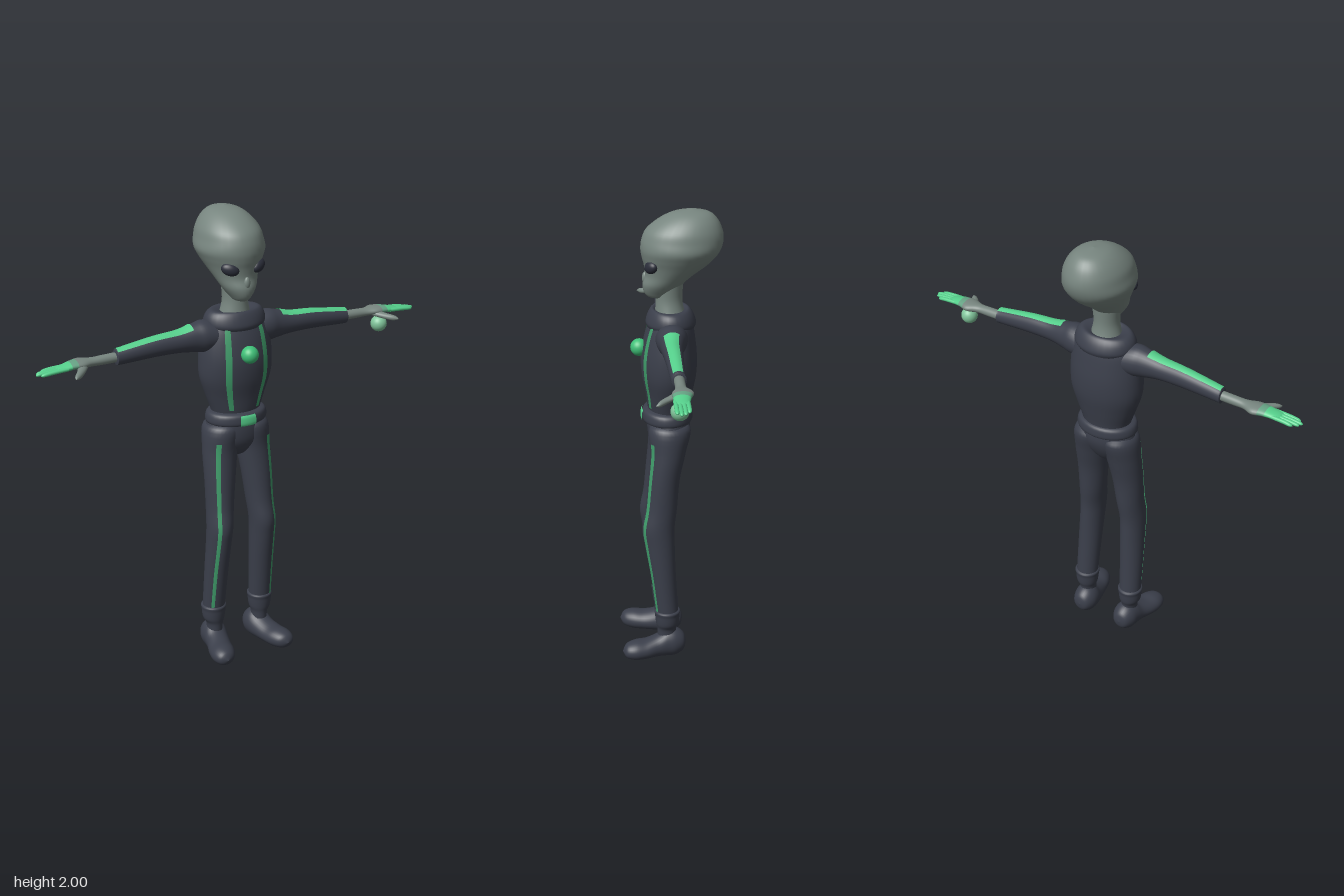
import * as THREE from 'three';

const mat = (name, color, side = THREE.FrontSide) => {
  const m = new THREE.MeshStandardMaterial({ color, side });
  m.name = name;
  return m;
};

// Smooth value of every column of a row table at row position s
function sample(rows, s) {
  const i = Math.min(Math.floor(s), rows.length - 2), f = s - i;
  const at = k => rows[Math.max(0, Math.min(rows.length - 1, k))];
  return rows[0].map((_, c) => {
    const [a, b, d, e] = [at(i - 1)[c], at(i)[c], at(i + 1)[c], at(i + 2)[c]];
    const v = b + 0.5 * f * (d - a + f * (2 * a - 5 * b + 4 * d - e + f * (3 * (b - d) + e - a)));
    return c > 2 ? Math.max(0, v) : v;
  });
}

// Loft of ellipses along an axis. Row: [t, u, v, ru, rv]; (t,u,v) is (y,z,x), (x,y,z) or (z,x,y).
// Angles (degrees, from u towards v) and a row range cut out a strip lifted by grow.
function loft(axis, rows, { a0 = 0, a1 = 360, lo = 0, hi = rows.length - 1, grow = 0 } = {}) {
  const closed = a1 - a0 === 360, seg = closed ? 32 : 6, cols = closed ? seg : seg + 1;
  const n = Math.ceil((hi - lo) * 5), pos = [], idx = [];
  for (let i = 0; i <= n; i++) {
    const [t, u, v, ru, rv] = sample(rows, lo + (hi - lo) * i / n);
    for (let j = 0; j < cols; j++) {
      const a = THREE.MathUtils.degToRad(a0 + (a1 - a0) * j / seg);
      const p = u + (ru + grow) * Math.cos(a), q = v + (rv + grow) * Math.sin(a);
      pos.push(...(axis === 'y' ? [q, t, p] : axis === 'x' ? [t, p, q] : [p, q, t]));
    }
  }
  for (let i = 0; i < n; i++) for (let j = 0; j < seg; j++) {
    const k = (j + 1) % cols, a = i * cols + j, b = i * cols + k;
    idx.push(a, b, a + cols, b, b + cols, a + cols);
  }
  const g = new THREE.BufferGeometry();
  g.setAttribute('position', new THREE.Float32BufferAttribute(pos, 3));
  g.setIndex(idx);
  g.computeVertexNormals();
  return g;
}

// Copy on the other side of x = 0, with the winding turned round
function mirrored(geo) {
  const g = geo.clone().scale(-1, 1, 1), ix = g.index;
  for (let i = 0; i < ix.count; i += 3) {
    const b = ix.getX(i + 1);
    ix.setX(i + 1, ix.getX(i + 2));
    ix.setX(i + 2, b);
  }
  return g;
}

export function createModel() {
  const root = new THREE.Group();
  root.name = 'alienFigure';
  const suit = mat('suit', 0x3b3f4b), collarMat = mat('collar', 0x3b3f4b, THREE.DoubleSide);
  const skin = mat('skin', 0x77857f), eyeMat = mat('eye', 0x2b2e3a);
  const glow = mat('glowGreen', 0x55cf8b, THREE.DoubleSide);
  const trim = mat('trimGreen', 0x3f9c6a, THREE.DoubleSide);
  const blend = mat('palmGreen', 0x66a284);
  const orb = mat('chestOrb', 0x3fc078), ballMat = mat('paleOrb', 0x80c49a);

  const add = (name, geo, m) => {
    const mesh = new THREE.Mesh(geo, m);
    mesh.name = name;
    root.add(mesh);
  };
  const pair = (name, geo, m) => {
    add(name + 'Left', geo, m);
    add(name + 'Right', mirrored(geo), m);
  };
  const ball = (r, x, y, z) => new THREE.SphereGeometry(r, 32, 20).translate(x, y, z);

  // Head: stacked sections from chin to the swept-back crown
  const head = [
    [1.628, 0.06, 0.015, 0.0], [1.635, 0.088, 0.0, 0.03], [1.655, 0.106, -0.03, 0.048],
    [1.69, 0.112, -0.055, 0.072], [1.73, 0.102, -0.1, 0.092], [1.77, 0.106, -0.155, 0.112],
    [1.805, 0.115, -0.192, 0.13], [1.84, 0.12, -0.213, 0.143], [1.88, 0.115, -0.222, 0.136],
    [1.92, 0.095, -0.215, 0.125], [1.96, 0.045, -0.195, 0.097], [1.988, -0.015, -0.16, 0.058],
    [2.0, -0.09, -0.09, 0],
  ].map(([y, f, b, w]) => [y, (f + b) / 2, 0, (f - b) / 2, w]);
  add('head', loft('y', head), skin);
  add('neck', loft('y', [[1.54, -0.005, 0, 0.07, 0.075], [1.58, 0, 0, 0.06, 0.062],
    [1.63, 0.002, 0, 0.055, 0.054], [1.7, 0, 0, 0.058, 0.06]]), skin);
  add('nose', ball(1, 0, 0, 0).scale(0.014, 0.026, 0.012).translate(0, 1.715, 0.102), skin);
  pair('eye', ball(1, 0, 0, 0).scale(0.038, 0.026, 0.022).rotateZ(0.3).rotateY(0.5)
    .translate(0.066, 1.775, 0.08), eyeMat);

  // Torso with stripes and chest orb
  const torso = [
    [1.1, 0, 0, 0.08, 0.1], [1.15, 0.005, 0, 0.088, 0.112], [1.22, 0.003, 0, 0.1, 0.137],
    [1.3, 0.003, 0, 0.115, 0.162], [1.38, 0.003, 0, 0.118, 0.165], [1.46, 0, 0, 0.107, 0.158],
    [1.52, -0.005, 0, 0.092, 0.145], [1.56, -0.008, 0, 0.075, 0.11], [1.585, -0.008, 0, 0, 0],
  ];
  add('torso', loft('y', torso), suit);
  pair('chestStripe', loft('y', torso, { a0: 26, a1: 36, lo: 1.2, hi: 6, grow: 0.004 }), trim);
  add('chestOrb', ball(0.037, 0, 1.415, 0.128), orb);
  add('collar', loft('y', [[1.51, -0.005, 0, 0.1, 0.125], [1.53, -0.005, 0, 0.105, 0.138],
    [1.565, -0.004, 0, 0.093, 0.13], [1.586, -0.002, 0, 0.075, 0.105], [1.575, 0, 0, 0.055, 0.06]]), collarMat);

  // Belt, buckle and hips
  const belt = [[1.09, 0.01, 0, 0.08, 0.1], [1.097, 0.01, 0, 0.104, 0.133], [1.12, 0.01, 0, 0.108, 0.137],
    [1.143, 0.01, 0, 0.101, 0.126], [1.152, 0.01, 0, 0.07, 0.09]];
  add('belt', loft('y', belt), suit);
  add('buckle', loft('y', belt, { a0: -15, a1: 15, lo: 1, hi: 3, grow: 0.006 }), glow);
  add('hips', loft('y', [[0.935, 0.012, 0, 0, 0], [0.945, 0.012, 0, 0.04, 0.04], [1.0, 0.01, 0, 0.076, 0.125],
    [1.06, 0.003, 0, 0.09, 0.138], [1.12, 0, 0, 0.085, 0.125]]), suit);

  // Legs with stripes, cuffs and shoes
  const leg = [
    [0.22, 0.018, 0.118, 0.049, 0.049], [0.4, 0.035, 0.113, 0.055, 0.052], [0.55, 0.05, 0.108, 0.065, 0.053],
    [0.63, 0.055, 0.105, 0.07, 0.055], [0.72, 0.042, 0.098, 0.068, 0.059], [0.85, 0.03, 0.09, 0.068, 0.068],
    [0.97, 0.012, 0.08, 0.076, 0.076], [1.08, 0.002, 0.068, 0.085, 0.074], [1.1, 0, 0.068, 0, 0],
  ];
  pair('leg', loft('y', leg), suit);
  pair('legStripe', loft('y', leg, { a0: 25, a1: 41, lo: 0.15, hi: 6.4, grow: 0.004 }), trim);
  pair('cuff', loft('y', [[0.09, 0.02, 0.115, 0.04, 0.035], [0.14, 0.02, 0.115, 0.042, 0.036],
    [0.17, 0.018, 0.118, 0.05, 0.048], [0.21, 0.018, 0.118, 0.054, 0.053],
    [0.234, 0.018, 0.118, 0.053, 0.052], [0.24, 0.018, 0.118, 0, 0]]), suit);
  pair('shoe', loft('z', [[-0.065, 0.11, 0.072, 0, 0], [-0.055, 0.11, 0.072, 0.034, 0.038],
    [-0.02, 0.11, 0.072, 0.054, 0.064], [0.02, 0.112, 0.071, 0.057, 0.066], [0.06, 0.12, 0.06, 0.055, 0.052],
    [0.11, 0.135, 0.052, 0.057, 0.044], [0.16, 0.146, 0.052, 0.055, 0.043], [0.2, 0.152, 0.052, 0.037, 0.03],
    [0.218, 0.153, 0.051, 0, 0]]), suit);

  // Sleeves with a stripe along the top
  const sleeve = [
    [0.07, 1.48, -0.003, 0.06, 0.07], [0.15, 1.486, 0, 0.068, 0.064], [0.2, 1.485, 0.002, 0.06, 0.052],
    [0.27, 1.481, 0.005, 0.047, 0.042], [0.38, 1.477, 0.004, 0.042, 0.036], [0.53, 1.463, 0.002, 0.034, 0.03],
    [0.55, 1.462, 0, 0.03, 0.027], [0.553, 1.462, 0, 0, 0],
  ];
  pair('sleeve', loft('x', sleeve), suit);
  pair('sleeveStripe', loft('x', sleeve, { a0: -32, a1: 42, lo: 2.2, hi: 5.4, grow: 0.004 }), glow);

  // Bare forearm and hand fading into glowing fingers
  const arm = [
    [0.5, 1.463, 0, 0.02, 0.022], [0.6, 1.461, 0, 0.02, 0.021], [0.655, 1.461, 0, 0.018, 0.024],
    [0.7, 1.463, -0.003, 0.019, 0.042], [0.74, 1.463, 0.002, 0.017, 0.036],
    [0.78, 1.459, 0.006, 0.013, 0.031], [0.81, 1.456, 0.007, 0.009, 0.03], [0.82, 1.456, 0.007, 0, 0],
  ];
  pair('forearm', loft('x', arm, { hi: 3.6 }), skin);
  pair('palm', loft('x', arm, { lo: 3.6, hi: 4.3 }), blend);
  pair('knuckles', loft('x', arm, { lo: 4.3 }), glow);
  pair('thumb', loft('z', [[0.005, 0.69, 1.457, 0.025, 0.014], [0.05, 0.72, 1.448, 0.02, 0.012],
    [0.085, 0.75, 1.441, 0.015, 0.011], [0.103, 0.766, 1.438, 0, 0]]), skin);
  [0.872, 0.893, 0.9, 0.885].forEach((tip, i) => {
    const z = -0.016 + i * 0.0155;
    pair('finger' + (i + 1), loft('x', [[0.77, 1.459, z, 0.008, 0.009], [0.83, 1.456, z, 0.0085, 0.009],
      [tip - 0.012, 1.452, z, 0.007, 0.008], [tip, 1.45, z, 0, 0]]), glow);
  });

  // Floating orb under the left hand
  add('handOrb', ball(0.036, 0.725, 1.4, 0.01), ballMat);
  return root;
}
